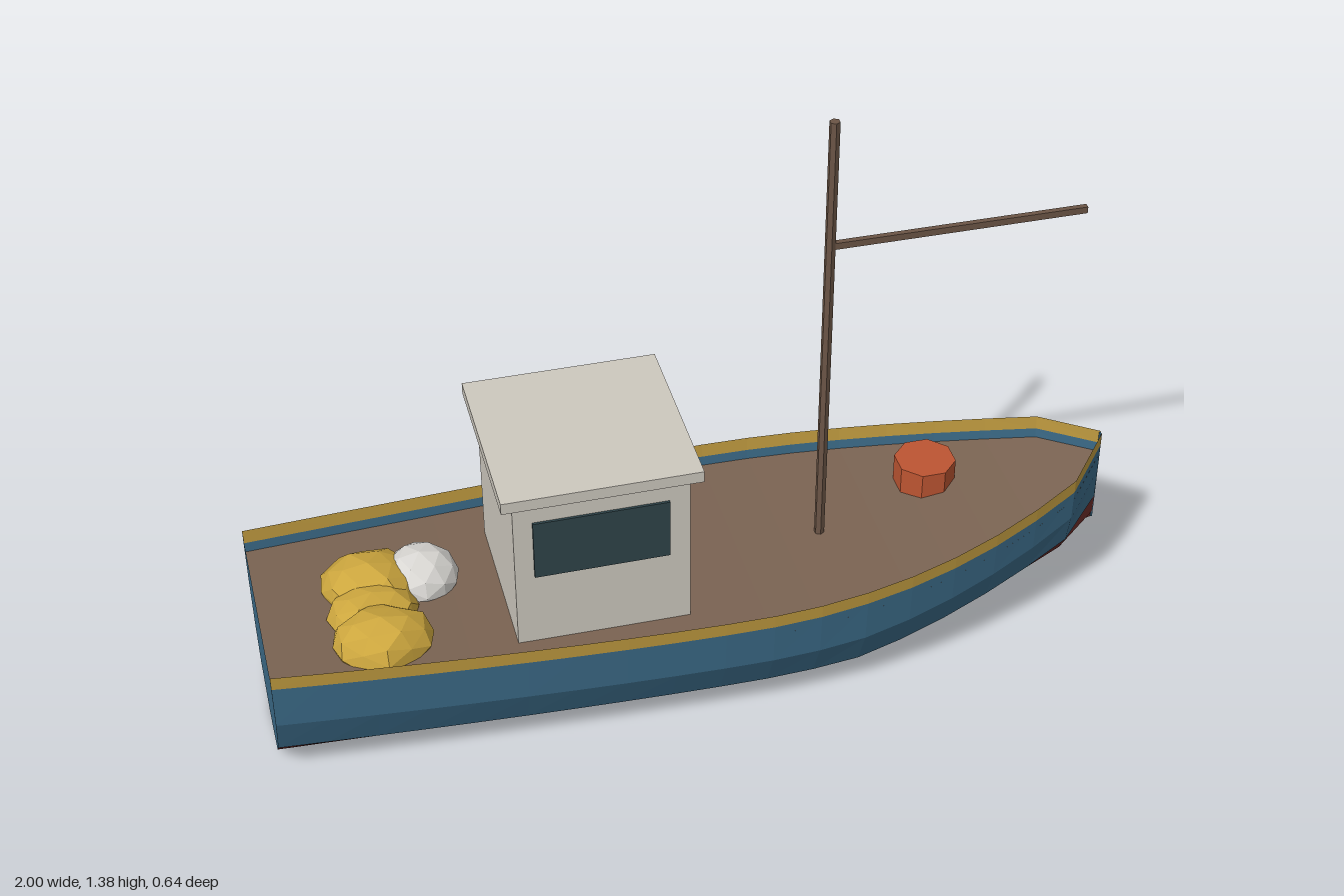
import * as THREE from 'three';

const mat = (name, color, side = THREE.FrontSide) =>
  Object.assign(new THREE.MeshStandardMaterial({ color, side }), { name });

// Hull lines as functions of the distance along the boat
const halfBeam = x => {
  if (x > 0.99) return 0.004;
  if (x < 0.1) return 0.32 - 0.065 * ((0.1 - x) / 1.1) ** 1.5;
  return 0.32 * (1 - 0.6 * ((x - 0.1) / 0.788) ** 2);
};
const sheer = x => 0.32 + (x > 0 ? 0.105 * x ** 2.5 : 0.015 * x * x);
const keel = x => (x > 0.33 ? 0.17 * ((x - 0.33) / 0.67) ** 1.15 : 0);
const STATIONS = Array.from({ length: 19 }, (_, i) => -1 + i / 9);

// Cross-section: [fraction of depth, fraction of beam]
const SECTION = [[1, 1], [0.56, 0.97], [0.26, 0.83], [0.07, 0.59], [0, 0]];
const RAIL = 0.035, DECK_DROP = 0.06;

const sectionPoint = (x, k) => {
  const [h, w] = SECTION[k];
  return [x, keel(x) + h * (sheer(x) - keel(x)), w * halfBeam(x)];
};
// Point on the topside a given drop below the sheer
const belowSheer = (x, drop) => {
  const a = sectionPoint(x, 0), b = sectionPoint(x, 1);
  const t = drop / (a[1] - b[1]);
  return [x, a[1] - drop, a[2] + (b[2] - a[2]) * t];
};

// Faceted surface through rows of points
function loft(rows) {
  const n = rows[0].length, index = [];
  for (let i = 0; i < rows.length - 1; i++) {
    for (let j = 0; j < n - 1; j++) {
      const a = i * n + j, b = a + 1, c = a + n, d = c + 1;
      index.push(a, b, c, b, d, c);
    }
  }
  const g = new THREE.BufferGeometry();
  g.setAttribute('position', new THREE.Float32BufferAttribute(rows.flat(2), 3));
  g.setIndex(index);
  const flat = g.toNonIndexed();
  flat.computeVertexNormals();
  return flat;
}

// Squashed ball with uneven facets
function lump(rx, ry, rz, rough, seed) {
  const g = new THREE.IcosahedronGeometry(1, 1), p = g.attributes.position;
  const v = new THREE.Vector3();
  for (let i = 0; i < p.count; i++) {
    v.fromBufferAttribute(p, i);
    const s = 1 + rough * Math.sin(5.1 * v.x + seed) * Math.cos(4.3 * v.z + 2 * seed + 3 * v.y);
    p.setXYZ(i, v.x * rx * s, v.y * ry * s, v.z * rz * s);
  }
  g.computeVertexNormals();
  return g;
}

export function createModel() {
  const boat = new THREE.Group();
  boat.name = 'fishingBoat';
  const blue = mat('hullBlue', 0x3b6a87, THREE.DoubleSide);
  const red = mat('bottomRed', 0x642825, THREE.DoubleSide);
  const gold = mat('railGold', 0xbf9a3f, THREE.DoubleSide);
  const deckBrown = mat('deckBrown', 0x7a6352, THREE.DoubleSide);
  const cream = mat('cabinCream', 0xcdc8be);
  const glass = mat('windowDark', 0x2e4349);
  const wood = mat('mastWood', 0x6b5546);
  const orange = mat('barrelOrange', 0xbd5532);
  const netYellow = mat('netYellow', 0xcca63e);
  const white = mat('floatWhite', 0xd8d6d2);

  const add = (name, geometry, material, x = 0, y = 0, z = 0, parent = boat) => {
    const m = new THREE.Mesh(geometry, material);
    m.name = name;
    m.position.set(x, y, z);
    parent.add(m);
    return m;
  };
  const box = (name, w, h, d, m, x, y, z, parent) =>
    add(name, new THREE.BoxGeometry(w, h, d), m, x, y, z, parent);

  // Hull sides in three painted bands, mirrored
  const bands = [
    ['rail', gold, x => [sectionPoint(x, 0), belowSheer(x, RAIL)]],
    ['topside', blue, x => [belowSheer(x, RAIL), sectionPoint(x, 1), sectionPoint(x, 2)]],
    ['bottom', red, x => [sectionPoint(x, 2), sectionPoint(x, 3), sectionPoint(x, 4)]],
  ];
  for (const [name, m, row] of bands) {
    for (const side of [1, -1]) {
      const rows = STATIONS.map(x => {
        const r = row(x).map(([px, py, pz]) => [px, py, pz * side]);
        return side > 0 ? r : r.reverse();
      });
      add(name + (side > 0 ? 'Front' : 'Back'), loft(rows), m);
    }
  }

  // Flat transom closing the stern
  const half = SECTION.map((_, k) => sectionPoint(-1, k));
  const outline = [
    ...half.map(p => new THREE.Vector2(p[2], p[1])),
    ...half.slice(0, -1).reverse().map(p => new THREE.Vector2(-p[2], p[1])),
  ];
  const transom = new THREE.ShapeGeometry(new THREE.Shape(outline));
  add('transom', transom.rotateY(-Math.PI / 2), blue, -1);

  // Narrow stem closing the bow
  box('stem', 0.004, 0.25, 0.008, blue, 0.998, 0.297, 0);

  // Deck follows the sheer a little below the rail
  add('deck', loft(STATIONS.map(x => {
    const [px, y, z] = belowSheer(x, DECK_DROP);
    return [[px, y, -z], [px, y, z]];
  })), deckBrown);

  // Wheelhouse with roof and three windows
  const cabin = new THREE.Group();
  cabin.name = 'wheelhouse';
  boat.add(cabin);
  box('cabinWalls', 0.395, 0.4, 0.4, cream, -0.25, 0.457, 0, cabin);
  box('cabinRoof', 0.447, 0.028, 0.446, cream, -0.251, 0.669, 0, cabin);
  for (const side of [1, -1])
    box('sideWindow', 0.305, 0.15, 0.008, glass, -0.252, 0.525, side * 0.202, cabin);
  box('frontWindow', 0.008, 0.15, 0.3, glass, -0.052, 0.525, 0, cabin);

  // Mast and boom
  const mast = new THREE.CylinderGeometry(0.012, 0.012, 1.12, 6).toNonIndexed();
  mast.computeVertexNormals();
  add('mast', mast, wood, 0.31, 0.815, 0);
  box('boom', 0.59, 0.016, 0.013, wood, 0.605, 1.065, 0);

  // Eight-sided barrel on the foredeck
  const barrel = new THREE.CylinderGeometry(0.073, 0.073, 0.07, 8).rotateY(Math.PI / 8).toNonIndexed();
  barrel.computeVertexNormals();
  add('barrel', barrel, orange, 0.6, 0.316, -0.1);

  // Heaped net and float on the aft deck
  add('netHeap', lump(0.115, 0.065, 0.09, 0.1, 1), netYellow, -0.74, 0.28, 0.13);
  add('netHeap', lump(0.11, 0.065, 0.105, 0.12, 2.4), netYellow, -0.74, 0.28, -0.06);
  add('netHeap', lump(0.105, 0.06, 0.08, 0.12, 4), netYellow, -0.745, 0.275, 0.03);
  add('float', lump(0.088, 0.07, 0.088, 0, 0), white, -0.62, 0.275, -0.07);

  return boat;
}
